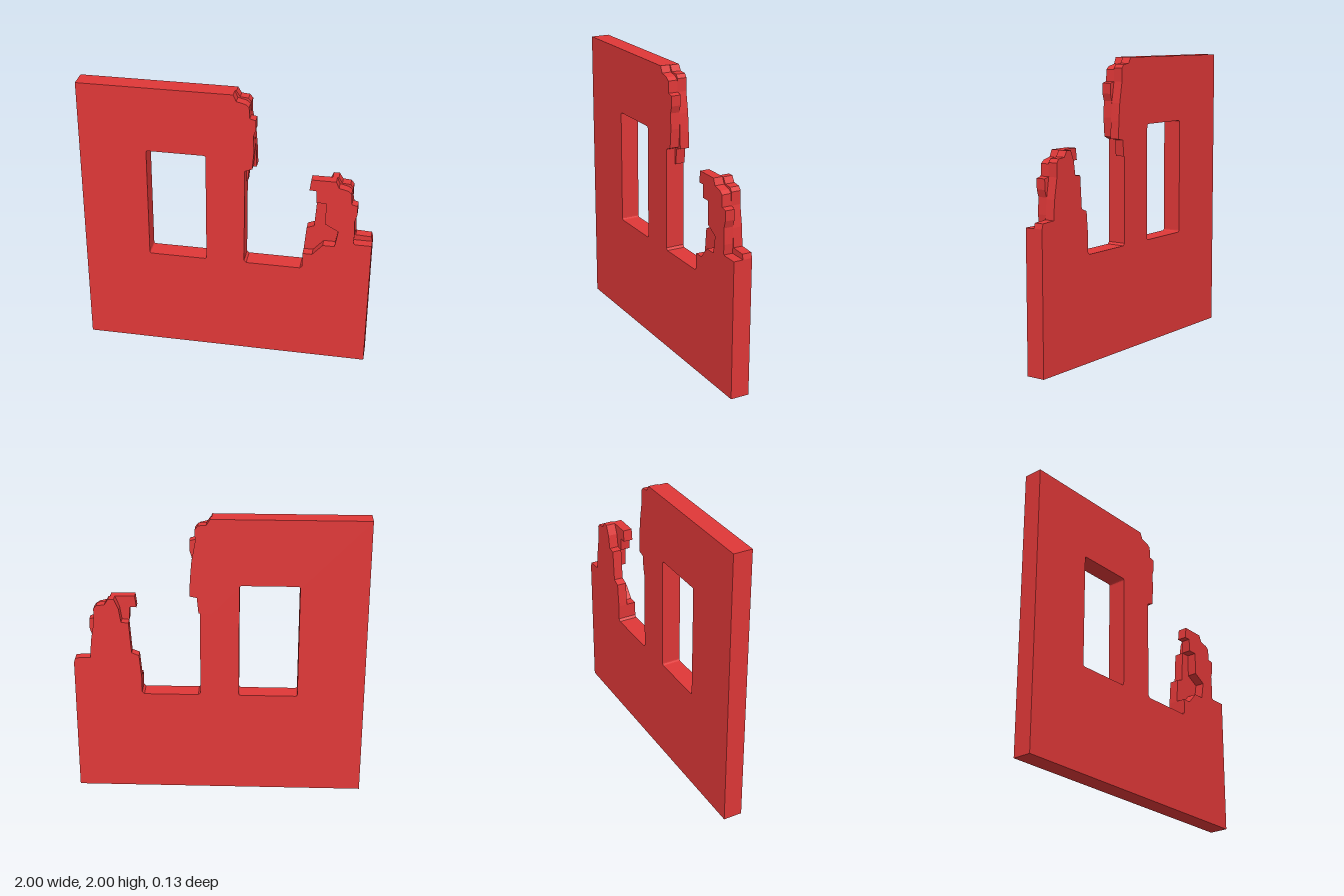
import * as THREE from 'three';

const HALF = 0.066; // half the wall thickness

// Broken right-hand profiles, shared by both stumps (running downwards)
const FRONT_BREAK = [[0.05, 2], [0.07, 1.955], [0.13, 1.94], [0.155, 1.92], [0.16, 1.84],
  [0.2, 1.83], [0.2, 1.76], [0.185, 1.71], [0.19, 1.6], [0.18, 1.47]];
const BACK_BREAK = [[0.06, 2], [0.085, 1.96], [0.14, 1.955], [0.16, 1.93], [0.16, 1.84],
  [0.185, 1.7], [0.195, 1.58], [0.2, 1.46]];
const shifted = (points, dx, dy) => points.map(([x, y]) => [x + dx, y + dy]);

function roundedHole(x0, y0, x1, y1, r) {
  const p = new THREE.Path();
  p.moveTo(x0 + r, y0);
  p.lineTo(x1 - r, y0).quadraticCurveTo(x1, y0, x1, y0 + r);
  p.lineTo(x1, y1 - r).quadraticCurveTo(x1, y1, x1 - r, y1);
  p.lineTo(x0 + r, y1).quadraticCurveTo(x0, y1, x0, y1 - r);
  p.lineTo(x0, y0 + r).quadraticCurveTo(x0, y0, x0 + r, y0);
  return p;
}

export function createModel() {
  const group = new THREE.Group();
  const material = new THREE.MeshStandardMaterial({ color: 0xe03838, flatShading: true });

  // Extrude an outline between two depths
  function slab(name, points, z0, z1, holes = []) {
    const shape = new THREE.Shape(points.map(([x, y]) => new THREE.Vector2(x, y)));
    shape.holes.push(...holes);
    const geometry = new THREE.ExtrudeGeometry(shape, { depth: z1 - z0, bevelEnabled: false, curveSegments: 4 });
    geometry.translate(0, 0, z0);
    const mesh = new THREE.Mesh(geometry, material);
    mesh.name = name;
    group.add(mesh);
  }

  // Intact wall: window opening, broken second opening and low right side
  slab('wall', [[-1, 0], [1, 0], [1, 0.96], [0.78, 0.96], [0.78, 0.85], [0.535, 0.85],
    [0.535, 0.745], [0.52, 0.73], [0.145, 0.73], [0.13, 0.745], [0.13, 1.34],
    [0.05, 1.34], [0.05, 2], [-1, 2]], -HALF, HALF,
  [roundedHole(-0.54, 0.73, -0.135, 1.54, 0.015)]);

  // Ragged end of the tall section, in two leaves
  slab('tallBreakFront', [...FRONT_BREAK, [0.13, 1.45], [0.13, 1.34], [0.05, 1.34]], 0, HALF);
  slab('tallBreakBack', [...BACK_BREAK, [0.15, 1.45], [0.14, 1.34], [0.05, 1.34], [0.05, 2]], -HALF, 0);

  // Standing stump on the right, in two leaves
  slab('stumpFront', [...shifted(FRONT_BREAK, 0.69, -0.57), [0.89, 0.96], [0.78, 0.96], [0.78, 0.85],
    [0.6, 0.85], [0.67, 0.93], [0.75, 0.93], [0.77, 1.05], [0.68, 1.1], [0.68, 1.26],
    [0.615, 1.26], [0.61, 1.35], [0.565, 1.35], [0.575, 1.43]], 0, HALF);
  slab('stumpBack', [...shifted(BACK_BREAK, 0.69, -0.57), [0.89, 0.96], [0.78, 0.96], [0.78, 0.85],
    [0.535, 0.85], [0.55, 1.02], [0.6, 1.04], [0.615, 1.26], [0.665, 1.265], [0.68, 1.36],
    [0.71, 1.43]], -HALF, 0);

  // Loose course left on the low end
  slab('ledgeBrick', [[0.885, 0.96], [1, 0.96], [0.99, 0.995], [0.9, 1], [0.885, 1]], -HALF, 0);

  return group;
}
